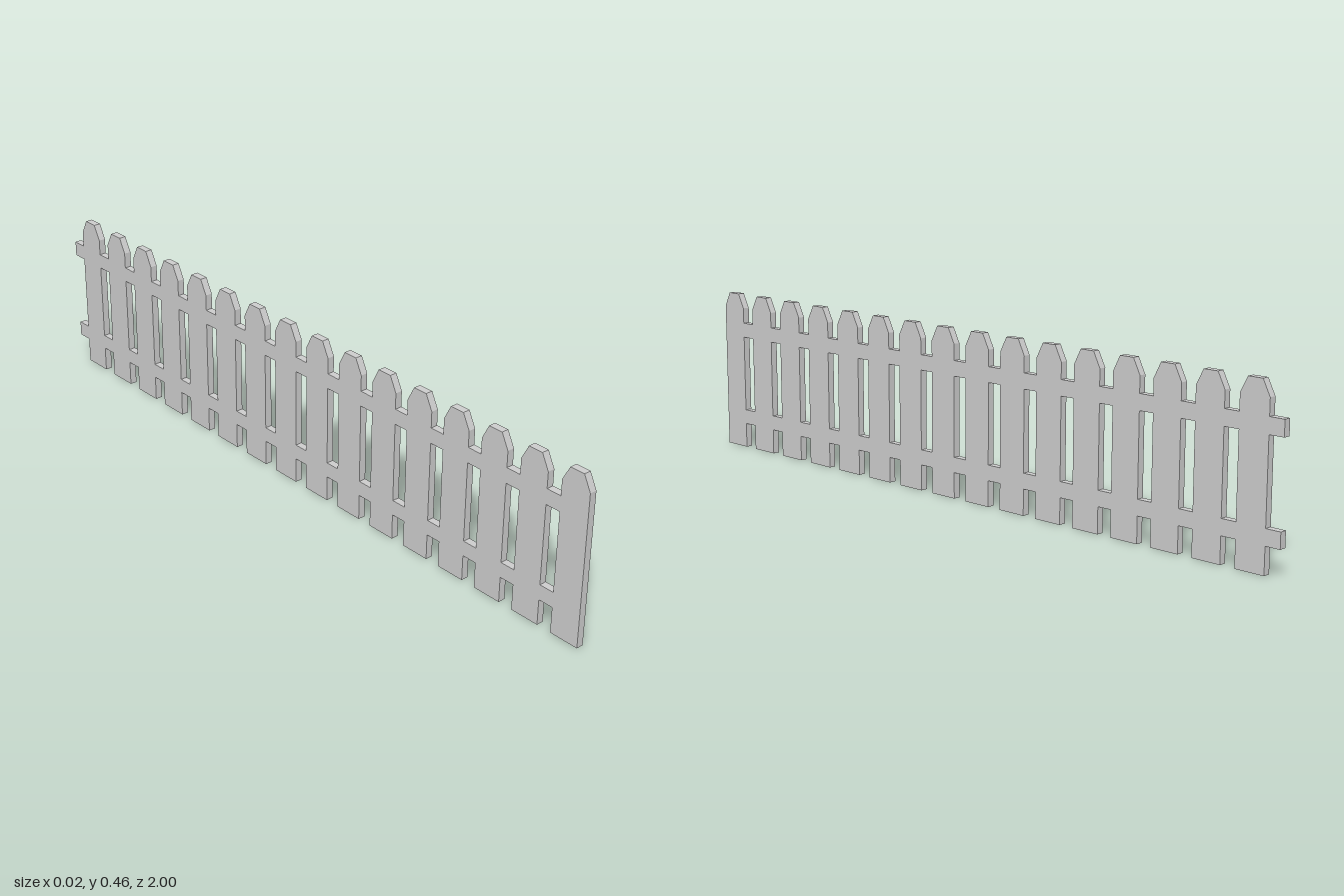
import * as THREE from 'three';

const COUNT = 16;
const PITCH = 2 / COUNT;
const WIDTH = PITCH * 2 / 3;
const GAP = PITCH - WIDTH;
const THICK = 0.02;

export function createModel() {
  const fence = new THREE.Group();
  fence.name = 'picketFence';
  const material = new THREE.MeshStandardMaterial({ color: 0xcccccc, flatShading: true });

  // Picket board with clipped top corners, turned to run along z
  const w = WIDTH / 2;
  const outline = new THREE.Shape([
    [-w, 0], [w, 0], [w, 0.418], [w - 0.021, 0.459], [-w + 0.021, 0.459], [-w, 0.418],
  ].map(([x, y]) => new THREE.Vector2(x, y)));
  const picketGeometry = new THREE.ExtrudeGeometry(outline, { depth: THICK, bevelEnabled: false })
    .translate(0, 0, -THICK / 2)
    .rotateY(-Math.PI / 2);

  // Rail piece filling one gap, flush with the pickets
  const railGeometry = new THREE.BoxGeometry(THICK, 0.042, GAP);

  const add = (name, geometry, y, z) => {
    const mesh = new THREE.Mesh(geometry, material);
    mesh.name = name;
    mesh.position.set(0, y, z);
    fence.add(mesh);
  };

  // Each bay is a picket followed by a gap; the last gap leaves the rail ends free
  for (let i = 0; i < COUNT; i++) {
    const start = 1 - i * PITCH;
    add('picket', picketGeometry, 0, start - w);
    add('lowerRail', railGeometry, 0.092, start - WIDTH - GAP / 2);
    add('upperRail', railGeometry, 0.353, start - WIDTH - GAP / 2);
  }
  return fence;
}
